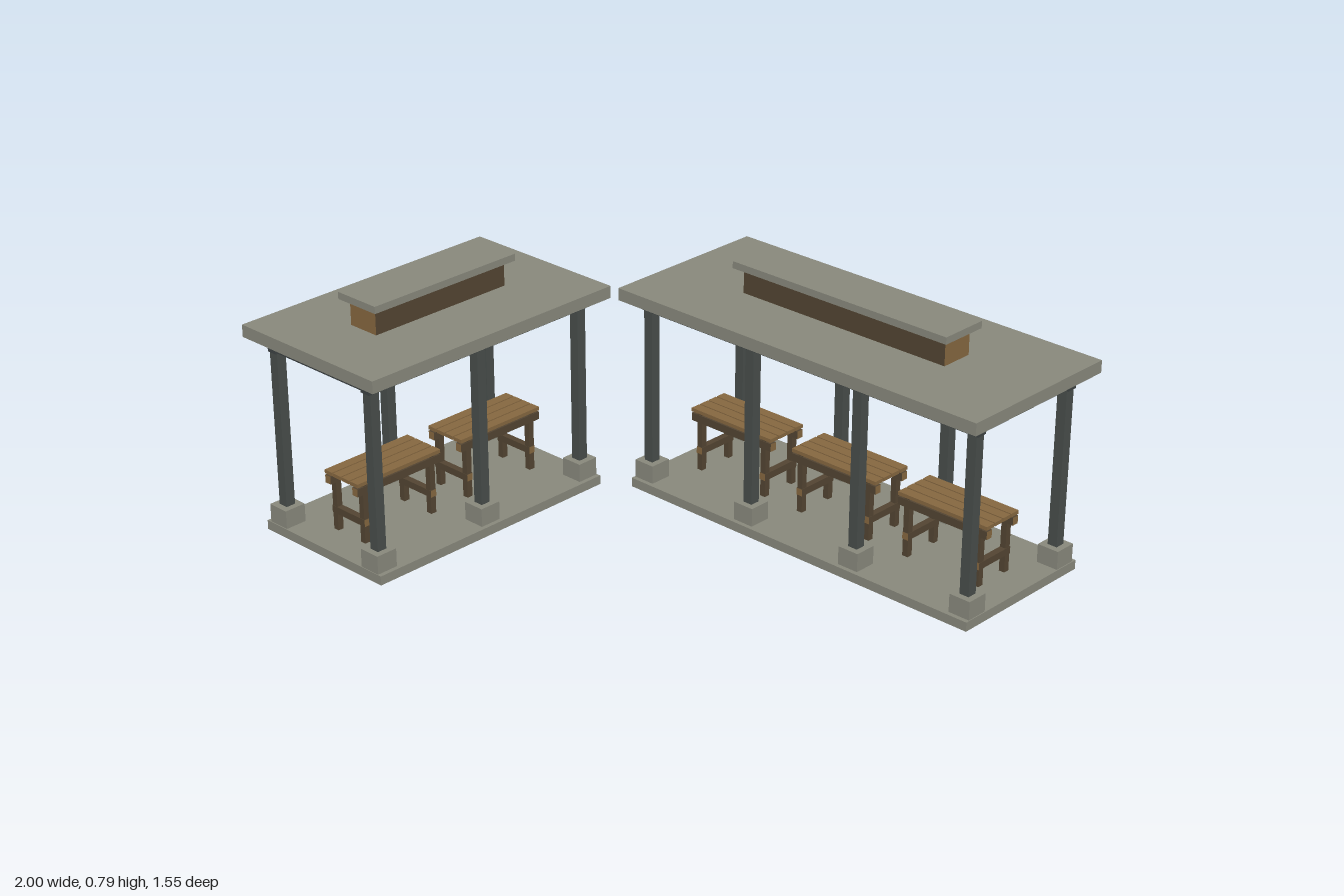
import * as THREE from 'three';

const mat = (name, color) => {
  const m = new THREE.MeshStandardMaterial({ color });
  m.name = name;
  return m;
};

const BAY = 0.42; // spacing between posts

export function createModel() {
  const concrete = mat('concrete', 0x87877b);
  const steel = mat('steel', 0x474d4a);
  const beamSteel = mat('darkSteel', 0x3c4142);
  const wood = mat('wood', 0x84663f);
  const darkWood = mat('darkWood', 0x524431);
  const endsX = [wood, wood, darkWood, darkWood, darkWood, darkWood];
  const endsZ = [darkWood, darkWood, darkWood, darkWood, wood, wood];

  // box spanning y0..y1, centred on x, z
  const box = (parent, name, material, w, d, y0, y1, x = 0, z = 0) => {
    const m = new THREE.Mesh(new THREE.BoxGeometry(w, y1 - y0, d), material);
    m.name = name;
    m.position.set(x, (y0 + y1) / 2, z);
    parent.add(m);
  };

  // slatted table, long along x
  function table() {
    const g = new THREE.Group();
    g.name = 'table';
    for (let i = 0; i < 4; i++)
      box(g, 'topBoard', wood, 0.333, 0.034, 0.226, 0.238, 0, (i - 1.5) * 0.0387);
    for (const s of [-1, 1]) {
      box(g, 'apron', endsX, 0.333, 0.024, 0.195, 0.221, 0, s * 0.062);
      box(g, 'stretcher', endsZ, 0.022, 0.148, 0.087, 0.11, s * 0.134);
      for (const t of [-1, 1])
        box(g, 'leg', darkWood, 0.02, 0.02, 0.03, 0.227, s * 0.134, t * 0.062);
    }
    return g;
  }

  // open shelter with n bays along x
  function shelter(n) {
    const g = new THREE.Group();
    const half = n * BAY / 2;
    box(g, 'floorSlab', concrete, 2 * half + 0.08, 0.523, 0, 0.03);
    box(g, 'roofSlab', concrete, 2 * half + 0.125, 0.585, 0.642, 0.682);

    // posts on footings, with cross beams
    for (let i = 0; i <= n; i++) {
      const x = -half + i * BAY;
      for (const s of [-1, 1]) {
        box(g, 'footing', concrete, 0.074, 0.074, 0.03, 0.09, x, s * 0.21);
        box(g, 'post', steel, 0.033, 0.033, 0.09, 0.604, x, s * 0.21);
      }
      box(g, 'crossBeam', beamSteel, 0.032, 0.458, 0.604, 0.632, x);
    }
    for (const s of [-1, 1])
      box(g, 'longBeam', beamSteel, 2 * half + 0.045, 0.036, 0.602, 0.642, 0, s * 0.21);

    // raised roof vent: dark sides, lighter ends
    box(g, 'ventBody', endsX, n * 0.26, 0.112, 0.682, 0.765);
    box(g, 'ventCap', concrete, n * 0.26 + 0.045, 0.164, 0.765, 0.788);

    // one table per bay
    for (let i = 0; i < n; i++) {
      const t = table();
      t.position.x = -half + (i + 0.5) * BAY;
      g.add(t);
    }
    return g;
  }

  const model = new THREE.Group();
  model.name = 'picnicShelters';
  const large = shelter(3);
  large.name = 'largeShelter';
  large.position.set(0.307, 0, -0.485);
  const small = shelter(2);
  small.name = 'smallShelter';
  small.rotation.y = Math.PI / 2;
  small.position.set(-0.7075, 0, 0.294);
  model.add(large, small);
  return model;
}
